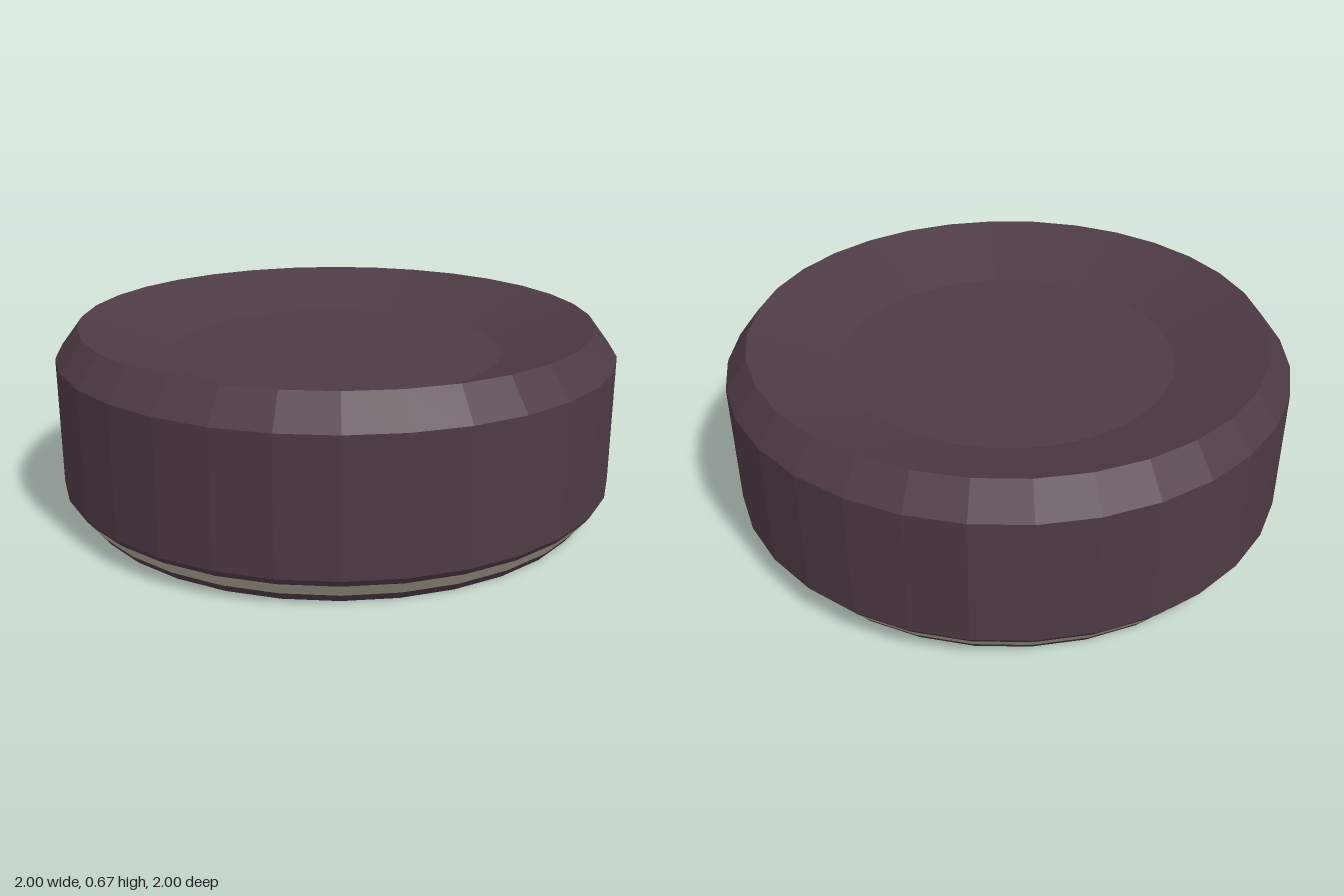
import * as THREE from 'three';

const SIDES = 32;

export function createModel() {
  const rubber = new THREE.MeshStandardMaterial({ color: 0x4d3a44 });
  rubber.name = 'dark plum';
  const cream = new THREE.MeshStandardMaterial({ color: 0xb0a898 });
  cream.name = 'warm cream';

  const model = new THREE.Group();
  model.name = 'puck';

  function add(name, geometry, material) {
    const mesh = new THREE.Mesh(geometry, material);
    mesh.name = name;
    model.add(mesh);
  }

  // faceted ring from a profile of [radius, height], running bottom to top
  function turned(profile) {
    const points = profile.map(([r, y]) => new THREE.Vector2(r, y));
    const geometry = new THREE.LatheGeometry(points, SIDES).toNonIndexed();
    geometry.computeVertexNormals();
    return geometry;
  }

  // underside dish and the lip below the stripe
  add('underside', turned([[0, 0.113], [0.6, 0.113], [0.92, 0], [0.943, 0.03]]), rubber);
  // pale stripe around the lower bevel
  add('stripe', turned([[0.943, 0.03], [0.981, 0.08]]), cream);
  // side wall, upper bevel and dished top
  add('body', turned([
    [0.981, 0.08], [1, 0.105], [1, 0.56], [0.92, 0.665], [0.6, 0.547], [0, 0.547],
  ]), rubber);

  // diagonal cross with rippled arms, on the floor of the underside dish
  const radius = 0.595, inner = 0.22, steps = 20;
  const outline = [];
  for (let arm = 0; arm < 4; arm++) {
    const angle = Math.PI / 4 + arm * Math.PI / 2;
    const side = [];
    for (let i = 0; i <= steps; i++) {
      const along = inner + (0.57 - inner) * i / steps;
      side.push([along, 0.148 + 0.016 * Math.cos((along - 0.56) * 2 * Math.PI / 0.115)]);
    }
    const tip = [-0.15, -0.08, 0, 0.08, 0.15].map((w) => [Math.sqrt(radius * radius - w * w), w]);
    const points = [
      ...side.map(([a, w]) => [a, -w]),
      ...tip,
      ...side.reverse(),
    ];
    for (const [a, w] of points) {
      outline.push(new THREE.Vector2(a, w).rotateAround(new THREE.Vector2(), angle));
    }
  }
  const cross = new THREE.ShapeGeometry(new THREE.Shape(outline));
  cross.rotateX(Math.PI / 2);
  cross.translate(0, 0.109, 0);
  add('undersideCross', cross, cream);

  return model;
}
